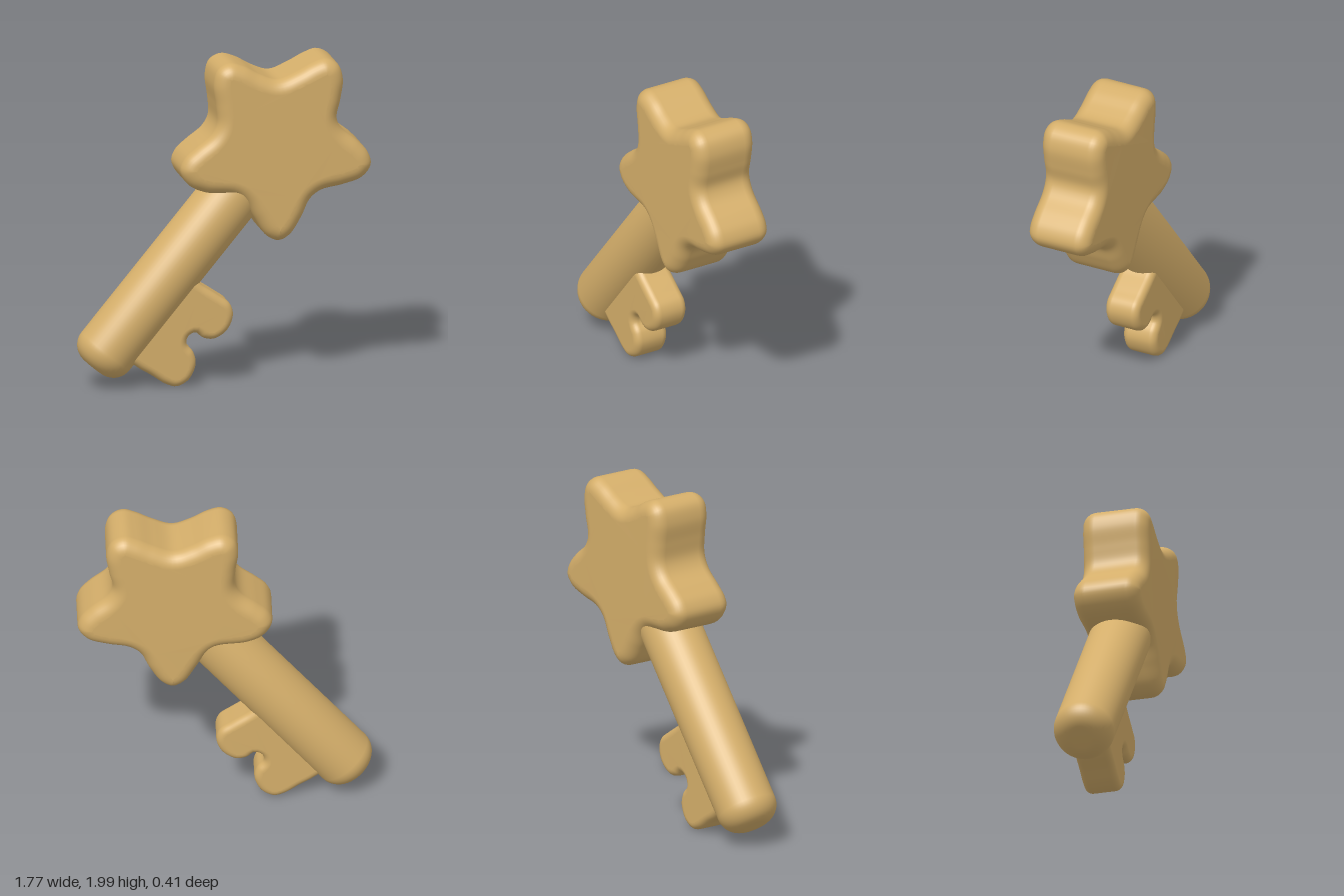
import * as THREE from 'three';
import { mergeVertices } from 'three/addons/utils/BufferGeometryUtils.js';

const gold = new THREE.MeshStandardMaterial({ color: 0xd4ae6a });
gold.name = 'gold';

// Smooth closed outline, extruded evenly about z = 0 with rounded rims
function puffyPlate(name, points, samples, halfDepth, rim) {
  const curve = new THREE.CatmullRomCurve3(
    points.map(([x, y]) => new THREE.Vector3(x, y, 0)), true, 'centripetal');
  const outline = curve.getSpacedPoints(samples).slice(0, -1)
    .map((p) => new THREE.Vector2(p.x, p.y));
  let geo = new THREE.ExtrudeGeometry(new THREE.Shape(outline), {
    depth: 2 * (halfDepth - rim), bevelEnabled: true, bevelThickness: rim,
    bevelSize: rim, bevelOffset: -rim, bevelSegments: 8,
  });
  geo.translate(0, 0, -(halfDepth - rim));
  geo.deleteAttribute('uv');
  geo.deleteAttribute('normal');
  geo = mergeVertices(geo, 1e-5);
  geo.computeVertexNormals();
  const mesh = new THREE.Mesh(geo, gold);
  mesh.name = name;
  return mesh;
}

export function createModel() {
  const key = new THREE.Group();
  key.name = 'starKey';

  // Star-shaped handle, counter-clockwise from the bottom tip
  key.add(puffyPlate('starHandle', [
    [0.31, 0.89], [0.38, 0.925], [0.45, 1.03], [0.505, 1.14], [0.57, 1.188],
    [0.70, 1.215], [0.82, 1.255], [0.877, 1.33], [0.86, 1.405], [0.80, 1.475],
    [0.70, 1.56], [0.668, 1.63], [0.69, 1.74], [0.706, 1.87], [0.675, 1.96],
    [0.60, 1.998], [0.52, 1.975], [0.42, 1.925], [0.305, 1.885], [0.20, 1.92],
    [0.10, 1.975], [0.01, 1.998], [-0.06, 1.96], [-0.085, 1.87], [-0.07, 1.74],
    [-0.065, 1.63], [-0.10, 1.56], [-0.20, 1.48], [-0.265, 1.42], [-0.29, 1.35],
    [-0.24, 1.26], [-0.14, 1.21], [0.04, 1.185], [0.10, 1.14], [0.16, 1.04],
    [0.235, 0.925],
  ], 200, 0.206, 0.085));

  // Round shaft with a softened lower end, running up into the star
  const radius = 0.184, round = 0.122, length = 1.5;
  const profile = [new THREE.Vector2(0, 0)];
  for (let i = 0; i <= 10; i++) {
    const a = (i / 10) * Math.PI / 2;
    profile.push(new THREE.Vector2(
      radius - round + round * Math.sin(a), round - round * Math.cos(a)));
  }
  profile.push(new THREE.Vector2(radius, length), new THREE.Vector2(0, length));
  const shaft = new THREE.Mesh(new THREE.LatheGeometry(profile, 48), gold);
  shaft.name = 'shaft';
  shaft.position.set(-0.798, 0.133, 0);
  shaft.rotation.z = -Math.atan2(0.638, 0.77);
  key.add(shaft);

  // Two-toothed bit, its inner edge buried in the shaft
  key.add(puffyPlate('bit', [
    [-0.30, 0.005], [-0.225, 0.045], [-0.183, 0.14], [-0.20, 0.215],
    [-0.24, 0.265], [-0.23, 0.31], [-0.185, 0.332], [-0.14, 0.298],
    [-0.07, 0.288], [0.01, 0.34], [0.045, 0.43], [0.025, 0.50], [-0.04, 0.55],
    [-0.13, 0.61], [-0.24, 0.68], [-0.38, 0.60], [-0.58, 0.36], [-0.63, 0.22],
    [-0.54, 0.135], [-0.46, 0.085], [-0.37, 0.025],
  ], 150, 0.112, 0.045));

  return key;
}
